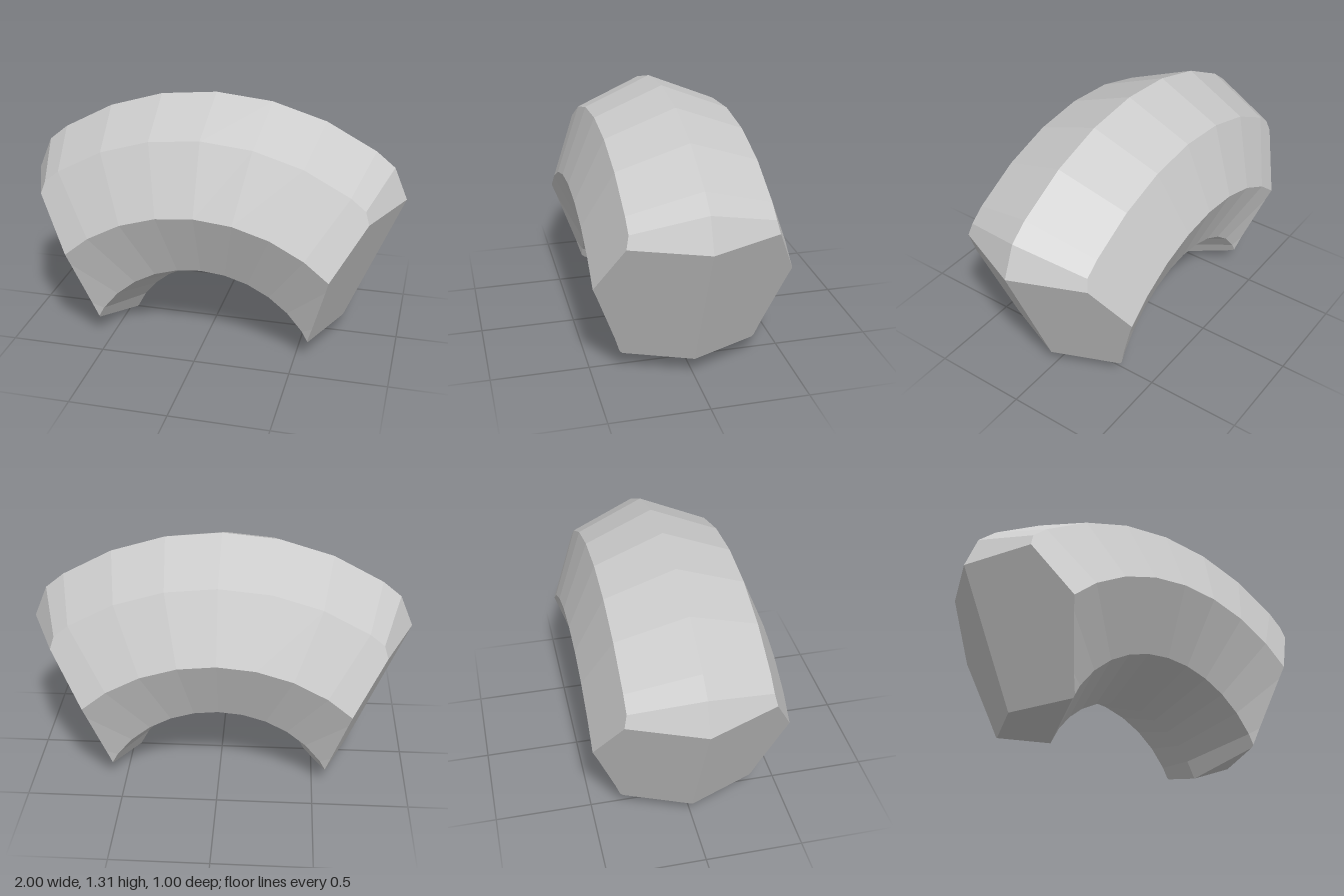
import * as THREE from 'three';

const SIDES = 8, STEP = Math.PI / 16, HALF = 6; // octagonal tube, 32 steps per full turn
const BASE = -0.5 * Math.cos(HALF * STEP);      // height of the ring centre
const V = (x, y, z) => new THREE.Vector3(x, y, z);

// Point on the ring: a = angle from the top, k = corner of the octagon
function ringPoint(a, k) {
  const t = k * 2 * Math.PI / SIDES, r = 1 + 0.5 * Math.cos(t);
  return V(r * Math.sin(a), BASE + r * Math.cos(a), 0.5 * Math.sin(t));
}

// Point on the faceted ball that trims the ends
function ballPoint(i, j) {
  const t = i * Math.PI / 4, p = j * Math.PI / 4;
  return V(Math.sin(t) * Math.cos(p), BASE + 1 + Math.cos(t), Math.sin(t) * Math.sin(p));
}

// A flat face with its plane turned away from an inside point
function makeFace(points, inside) {
  const plane = new THREE.Plane().setFromCoplanarPoints(points[0], points[1], points[2]);
  if (plane.distanceToPoint(inside) > 0) {
    plane.negate();
    points = points.slice().reverse();
  }
  return { points, plane };
}

// Keep the part of a polygon behind every plane
function clip(points, planes) {
  for (const plane of planes) {
    const out = [];
    points.forEach((p, i) => {
      const q = points[(i + 1) % points.length];
      const dp = plane.distanceToPoint(p), dq = plane.distanceToPoint(q);
      if (dp <= 1e-7) out.push(p);
      if ((dp < -1e-7 && dq > 1e-7) || (dp > 1e-7 && dq < -1e-7)) out.push(p.clone().lerp(q, dp / (dp - dq)));
    });
    points = out;
    if (points.length < 3) return [];
  }
  return points;
}

function addFan(target, points) {
  for (let i = 1; i < points.length - 1; i++) {
    const tri = new THREE.Triangle(points[0], points[i], points[i + 1]);
    if (tri.getArea() > 1e-8) target.push(tri.a, tri.b, tri.c);
  }
}

function makeMesh(name, points) {
  const geometry = new THREE.BufferGeometry().setFromPoints(points);
  geometry.computeVertexNormals();
  const mesh = new THREE.Mesh(geometry, new THREE.MeshStandardMaterial({ color: 0xcccccc, flatShading: true }));
  mesh.name = name;
  return mesh;
}

export function createModel() {
  // Faces of the trimming ball, 8 around and 4 high
  const ball = [], centre = V(0, BASE + 1, 0);
  for (let i = 0; i < 4; i++) for (let j = 0; j < 8; j++) {
    const quad = [ballPoint(i, j), ballPoint(i + 1, j), ballPoint(i + 1, j + 1), ballPoint(i, j + 1)];
    if (i === 0) quad.pop();
    if (i === 3) quad.splice(2, 1);
    ball.push(makeFace(quad, centre));
  }
  const ballPlanes = ball.map(f => f.plane);

  // Each step of the ring is convex, so trim it and the ball against each other
  const tube = [], ends = [];
  for (let s = -HALF; s < HALF; s++) {
    const a = s * STEP, b = a + STEP, m = a + STEP / 2;
    const middle = V(0.98 * Math.sin(m), BASE + 0.98 * Math.cos(m), 0);
    const sides = [];
    for (let k = 0; k < SIDES; k++) {
      sides.push(makeFace([ringPoint(a, k), ringPoint(b, k), ringPoint(b, k + 1), ringPoint(a, k + 1)], middle));
    }
    const cuts = [a, b].map(t => makeFace([ringPoint(t, 0), ringPoint(t, 2), ringPoint(t, 4)], middle));
    const stepPlanes = [...sides, ...cuts].map(f => f.plane);
    sides.forEach(f => addFan(tube, clip(f.points, ballPlanes)));
    ball.forEach(f => addFan(ends, clip(f.points, stepPlanes)));
  }

  const group = new THREE.Group();
  group.name = 'archedTube';
  group.add(makeMesh('tubeSurface', tube), makeMesh('facetedEnds', ends));
  return group;
}
